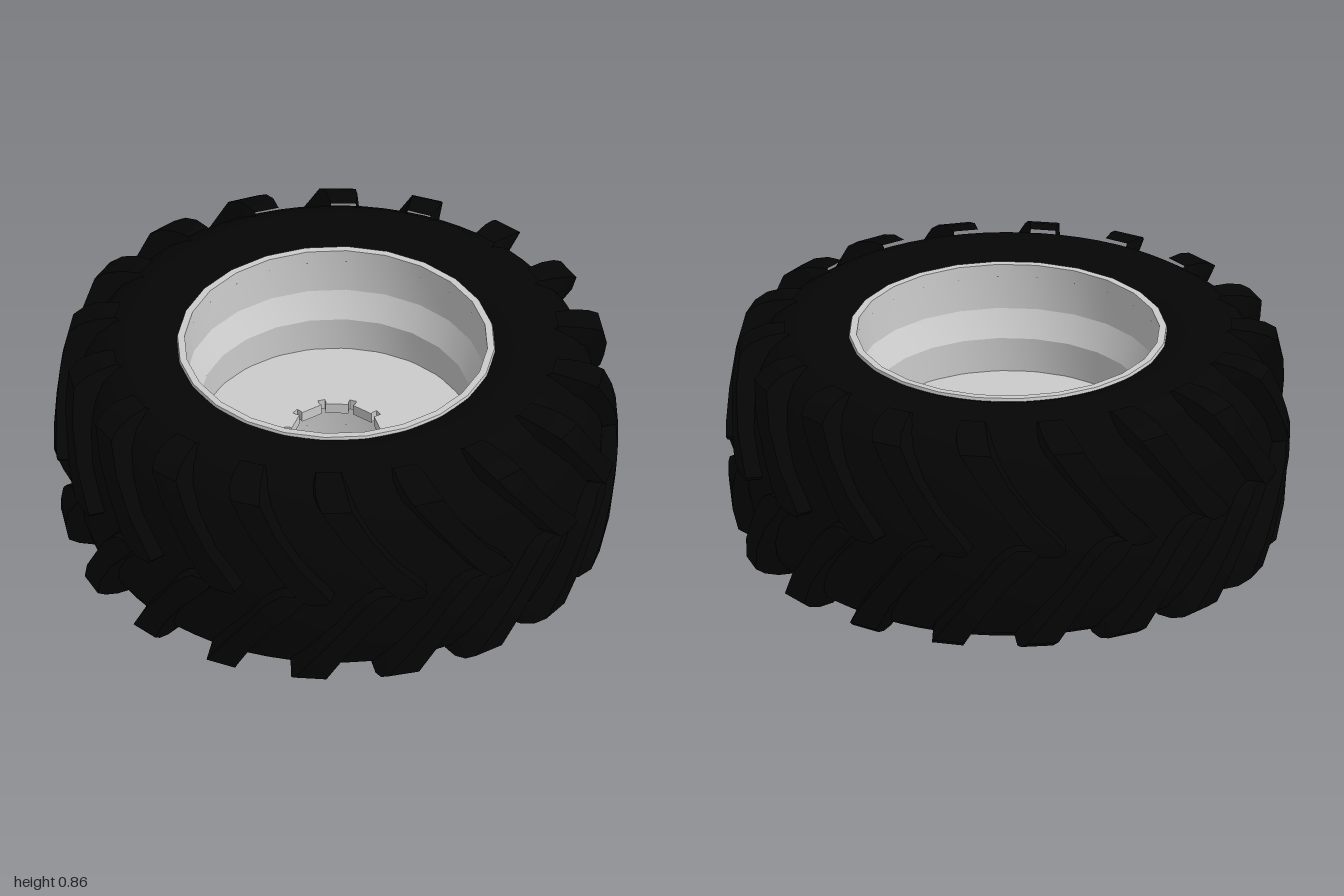
import * as THREE from 'three';
import { toCreasedNormals } from 'three/addons/utils/BufferGeometryUtils.js';

const MID = 0.4275;   // half the tyre width
const LUGS = 18;      // lugs per side

const rubber = new THREE.MeshStandardMaterial({ color: 0x050505 });
const steel = new THREE.MeshStandardMaterial({ color: 0xcccccc, side: THREE.DoubleSide });

// Lathe from half a profile [radius, height above mid] and its mirror image;
// the surface faces outward, or toward the axis if inward is true
function symmetricLathe(half, segments, crease, inward) {
  const lower = half.map(([r, h]) => new THREE.Vector2(r, MID - h));
  const upper = half.map(([r, h]) => new THREE.Vector2(r, MID + h)).reverse();
  const points = [...lower, ...upper];
  if (inward) points.reverse();
  return toCreasedNormals(new THREE.LatheGeometry(points, segments), crease);
}

// One curved lug, swept from the tread centre over the shoulder; side is 1 (up) or -1 (down)
function lugGeometry(side) {
  // top radius, height from mid, angle, half width as an angle
  const stations = [
    [0.992, -0.015, 0.31, 0.03],
    [0.999, 0.005, 0.302, 0.055],
    [0.998, 0.045, 0.268, 0.06],
    [0.99, 0.14, 0.19, 0.05],
    [0.977, 0.26, 0.1, 0.052],
    [0.954, 0.368, 0.03, 0.058],
    [0.915, 0.397, 0.012, 0.062],
    [0.86, 0.417, 0, 0.062],
    [0.79, 0.426, -0.008, 0.055],
  ];
  const pos = [];
  const index = [];
  for (const [r, h, a, w] of stations) {
    const corners = [[0.9, -1.4], [1, -1], [1, 1], [0.9, 1.4]];
    for (const [k, s] of corners) {
      const phi = a + s * w;
      const y = side * h * (k < 1 ? 0.88 : 1);
      pos.push(r * k * Math.sin(phi), MID + y, r * k * Math.cos(phi));
    }
  }
  const tri = (a, b, c) => (side > 0 ? index.push(a, b, c) : index.push(a, c, b));
  for (let i = 0; i < stations.length - 1; i++) {
    for (let k = 0; k < 3; k++) {
      const a = i * 4 + k;
      tri(a, a + 1, a + 5);
      tri(a, a + 5, a + 4);
    }
  }
  tri(0, 2, 1);
  tri(0, 3, 2);
  const g = new THREE.BufferGeometry();
  g.setAttribute('position', new THREE.Float32BufferAttribute(pos, 3));
  g.setIndex(index);
  return toCreasedNormals(g, 0.65);
}

// Wheel disc with a centre hole and ten bolt notches
function discGeometry() {
  const shape = new THREE.Shape();
  shape.absarc(0, 0, 0.484, 0, Math.PI * 2, false);
  const outline = [];
  for (let i = 0; i < 10; i++) {
    const a = THREE.MathUtils.degToRad(16 + 36 * i);
    for (const [da, r] of [[-0.05, 0.157], [-0.075, 0.165], [-0.07, 0.183], [0.07, 0.183], [0.075, 0.165], [0.05, 0.157]]) {
      outline.push(new THREE.Vector2(r * Math.cos(a + da), r * Math.sin(a + da)));
    }
  }
  shape.holes.push(new THREE.Path(outline.reverse()));
  const g = new THREE.ExtrudeGeometry(shape, { depth: 0.04, bevelEnabled: false, curveSegments: 12 });
  g.rotateX(-Math.PI / 2);
  g.translate(0, 0.405, 0);
  return toCreasedNormals(g, 0.5);
}

export function createModel() {
  const wheel = new THREE.Group();
  wheel.name = 'tractorWheel';
  const add = (parent, name, geometry, material) => {
    const mesh = new THREE.Mesh(geometry, material);
    mesh.name = name;
    parent.add(mesh);
    return mesh;
  };

  // Tyre body
  const carcass = [
    [0.535, 0.36], [0.55, 0.392], [0.6, 0.412], [0.66, 0.424], [0.73, MID],
    [0.79, 0.412], [0.845, 0.375], [0.885, 0.315], [0.91, 0.24], [0.932, 0.14], [0.941, 0.04],
  ];
  add(wheel, 'tyreBody', symmetricLathe(carcass, 72, 0.7, false), rubber);

  // Tread: two staggered rows of lugs
  const tread = new THREE.Group();
  tread.name = 'tread';
  wheel.add(tread);
  const pitch = (Math.PI * 2) / LUGS;
  for (const side of [1, -1]) {
    const geometry = lugGeometry(side);
    for (let i = 0; i < LUGS; i++) {
      const lug = add(tread, side > 0 ? 'upperLug' : 'lowerLug', geometry, rubber);
      lug.rotation.y = (i + (side > 0 ? 0 : 0.72)) * pitch;
    }
  }

  // Rim: lip, outer wall, sloping step and inner well, with flats facing the axes
  const rimHalf = [
    [0.55, 0.37], [0.566, 0.392], [0.562, 0.408], [0.537, 0.408],
    [0.53, 0.24], [0.482, 0.145], [0.482, 0.02],
  ];
  const rim = add(wheel, 'rim', symmetricLathe(rimHalf, 24, 0.3, true), steel);
  rim.rotation.y = Math.PI / 24;

  // Centre disc
  add(wheel, 'wheelDisc', discGeometry().rotateY(0), steel).name = 'wheelDisc';

  return wheel;
}
